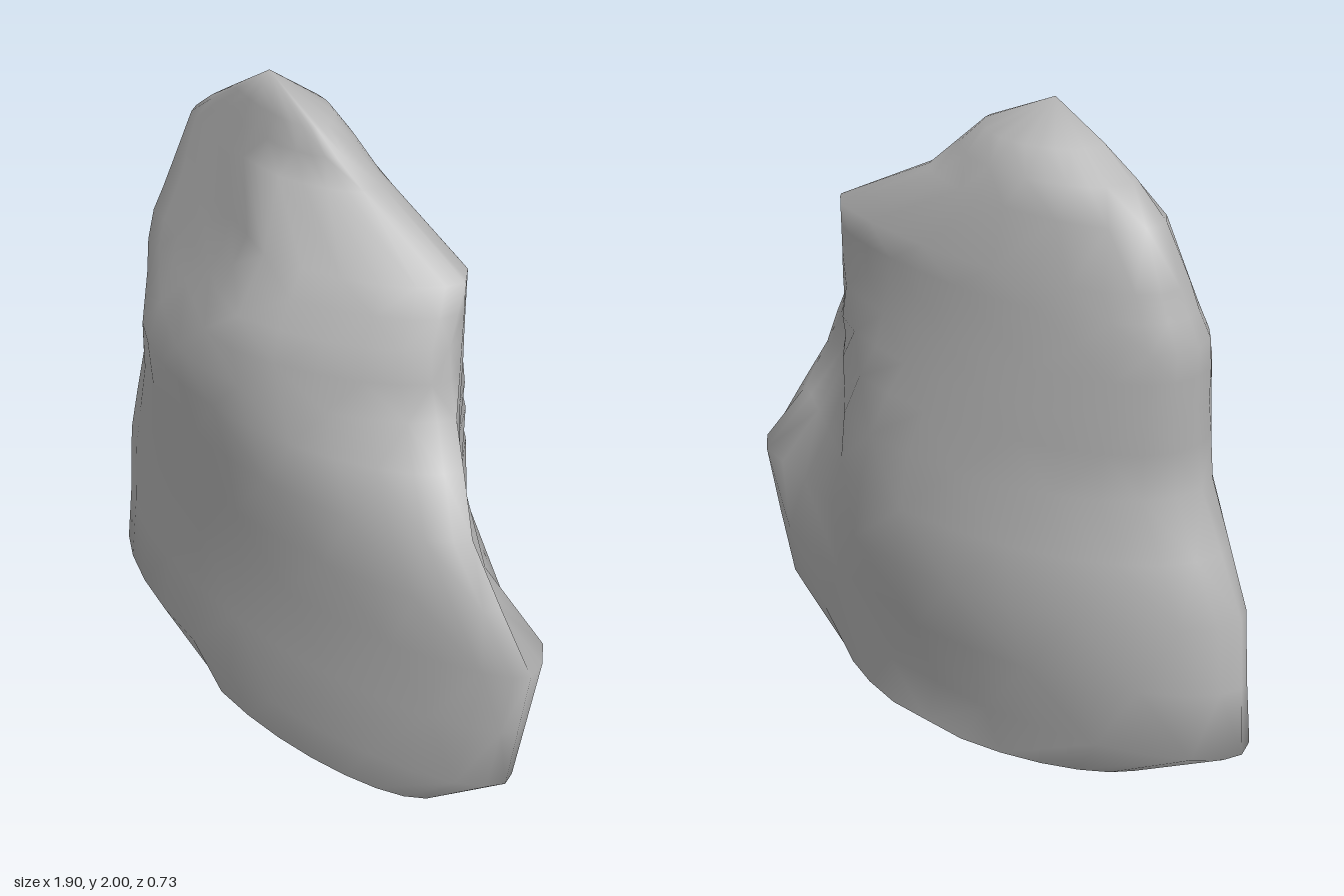
import * as THREE from 'three';

// Cross-sections: height, -x tip, +x tip, z at each tip, front depth, back depth, front and back bluntness
const SECTIONS = [
  [0.00, -0.65, 0.66, 0.02, 0.05, 0.31, -0.27, 0.45, 0.55],
  [0.16, -0.95, 0.87, 0.07, 0.00, 0.345, -0.27, 0.55, 0.55],
  [0.38, -0.935, 0.91, 0.07, 0.00, 0.335, -0.32, 0.6, 0.55],
  [0.60, -0.92, 0.95, 0.07, 0.00, 0.33, -0.37, 0.6, 0.55],
  [0.78, -0.84, 0.85, 0.07, 0.03, 0.34, -0.355, 0.55, 0.5],
  [0.96, -0.76, 0.74, 0.07, 0.05, 0.35, -0.34, 0.52, 0.47],
  [1.11, -0.765, 0.635, 0.04, 0.00, 0.36, -0.32, 0.55, 0.45],
  [1.22, -0.77, 0.55, 0.02, -0.04, 0.365, -0.305, 0.6, 0.45],
  [1.33, -0.775, 0.52, 0.01, -0.04, 0.37, -0.29, 0.6, 0.42],
  [1.42, -0.78, 0.50, 0.00, -0.05, 0.335, -0.28, 0.6, 0.42],
  [1.50, -0.75, 0.48, -0.01, -0.09, 0.29, -0.272, 0.6, 0.42],
  [1.58, -0.725, 0.46, -0.02, -0.13, 0.235, -0.265, 0.55, 0.42],
  [1.75, -0.67, 0.13, -0.05, -0.07, 0.125, -0.22, 0.55, 0.45],
  [1.83, -0.545, 0.05, -0.01, -0.03, 0.09, -0.185, 0.5, 0.47],
  [1.90, -0.42, -0.02, 0.02, 0.00, 0.06, -0.135, 0.5, 0.5],
];
const AROUND = 28;
const { lerp, smoothstep } = THREE.MathUtils;

// Front: a ledge rises toward +x, with a gentler slope above it; the base is cut back at -x
function frontLimit(x, y) {
  if (y === 0) return 0.29 + 0.7 * (x + 0.25);
  const ledge = 0.35 - 0.63 * (y - 1.4 - 0.7 * x);
  const upper = 0.17 - 0.3 * (y - 1.5) + 0.15 * Math.min(0, x + 0.25);
  return Math.max(ledge, upper);
}

// Back: a ridge at x = 0.33 with a steep side above and a shallow flare below,
// then an undercut below a line that falls toward -x
function backLimit(x, y) {
  const slope = x > 0.33 ? lerp(0.25, 1.06, smoothstep(y, 0.55, 1.05)) : 0.65;
  const side = -0.27 + slope * (x - 0.33);
  const undercut = Math.min(-0.26, -0.36 + 0.47 * (0.45 + 0.55 * x - y));
  return Math.max(side, undercut);
}

// Point on a section: a blunt ellipse, fullest toward -x in front, trimmed by the limits
function sectionPoint([y, x0, x1, z0, z1, front, back, frontPow, backPow], j) {
  const a = (j / AROUND) * Math.PI * 2;
  const t = (1 + Math.cos(a)) / 2;
  const x = lerp(x0, x1, t);
  const tipZ = lerp(z0, z1, t);
  const isFront = Math.sin(a) >= 0;
  const s = isFront ? Math.pow(t, 0.85) : t;
  const bulge = Math.pow(Math.max(0, Math.sin(s * Math.PI)), isFront ? frontPow : backPow);
  const z = lerp(tipZ, isFront ? front : back, bulge);
  return [x, y, isFront
    ? Math.min(z, Math.max(tipZ, frontLimit(x, y)))
    : Math.max(z, Math.min(tipZ, backLimit(x, y)))];
}

function build(pos, idx) {
  const g = new THREE.BufferGeometry();
  g.setAttribute('position', new THREE.Float32BufferAttribute(pos, 3));
  g.setIndex(idx);
  g.computeVertexNormals();
  return g;
}

function rockSurface() {
  const pos = [], idx = [];
  for (const s of SECTIONS)
    for (let j = 0; j < AROUND; j++) pos.push(...sectionPoint(s, j));
  for (let i = 0; i < SECTIONS.length - 1; i++)
    for (let j = 0; j < AROUND; j++) {
      const a = i * AROUND + j, b = i * AROUND + (j + 1) % AROUND;
      const c = a + AROUND, d = b + AROUND;
      if ((i + j) % 2) idx.push(a, c, d, a, d, b);
      else idx.push(a, c, b, b, c, d);
    }
  // peak
  const peak = pos.length / 3, last = (SECTIONS.length - 1) * AROUND;
  pos.push(-0.25, 2, 0.01);
  for (let j = 0; j < AROUND; j++) idx.push(last + j, peak, last + (j + 1) % AROUND);
  return build(pos, idx);
}

function baseSurface() {
  const pos = [0, 0, 0], idx = [];
  for (let j = 0; j < AROUND; j++) {
    pos.push(...sectionPoint(SECTIONS[0], j));
    idx.push(0, j + 1, ((j + 1) % AROUND) + 1);
  }
  return build(pos, idx);
}

export function createModel() {
  const stone = new THREE.MeshStandardMaterial({ color: 0xb6b6b6 });
  stone.name = 'stone grey';
  const group = new THREE.Group();
  group.name = 'rock';
  const body = new THREE.Mesh(rockSurface(), stone);
  body.name = 'rockBody';
  const base = new THREE.Mesh(baseSurface(), stone);
  base.name = 'flatBase';
  group.add(body, base);
  return group;
}
